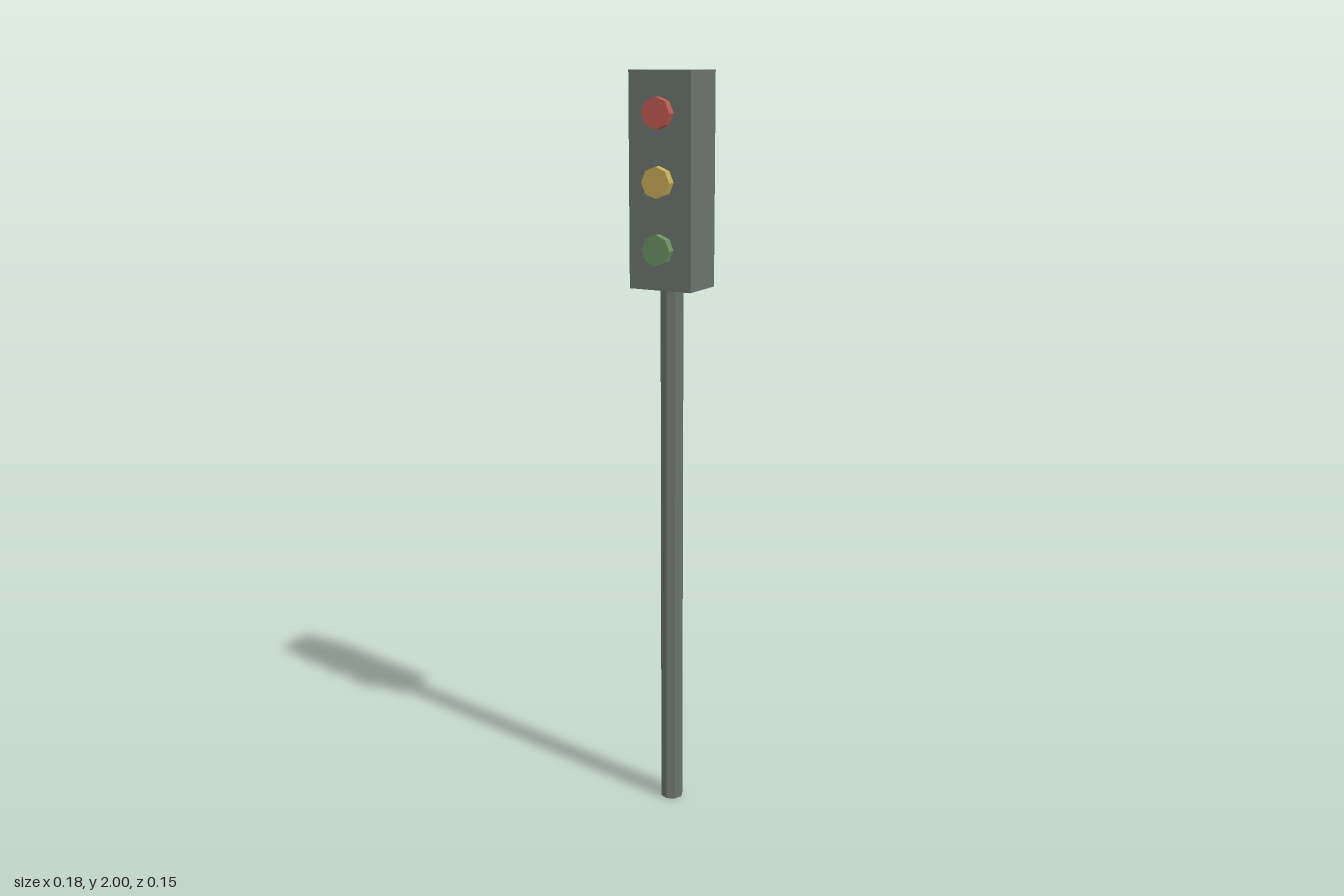
import * as THREE from 'three';

const material = (name, color) => {
  const m = new THREE.MeshStandardMaterial({ color, flatShading: true });
  m.name = name;
  return m;
};

export function createModel() {
  const group = new THREE.Group();
  group.name = 'trafficLight';
  const grey = material('grey metal', 0x6b736d);
  const centreZ = -0.0115;

  const add = (name, geometry, mat, x, y, z) => {
    const mesh = new THREE.Mesh(geometry, mat);
    mesh.name = name;
    mesh.position.set(x, y, z);
    group.add(mesh);
  };

  // Pole, eight-sided
  const poleHeight = 1.455;
  add('pole', new THREE.CylinderGeometry(0.031, 0.031, poleHeight, 8), grey, 0, poleHeight / 2, centreZ);

  // Signal housing
  const housingHeight = 2 - poleHeight;
  add('housing', new THREE.BoxGeometry(0.177, housingHeight, 0.131), grey, 0, poleHeight + housingHeight / 2, centreZ);

  // Lamps: short eight-sided discs on the front face
  const lampGeometry = new THREE.CylinderGeometry(0.04, 0.04, 0.024, 8).rotateX(Math.PI / 2);
  const lamps = [
    ['redLamp', 'red', 0xbd5a50, 1.897],
    ['yellowLamp', 'yellow', 0xc6ab58, 1.728],
    ['greenLamp', 'green', 0x6a9160, 1.559],
  ];
  for (const [name, colorName, color, y] of lamps) {
    add(name, lampGeometry, material(colorName, color), 0, y, 0.065);
  }
  return group;
}
